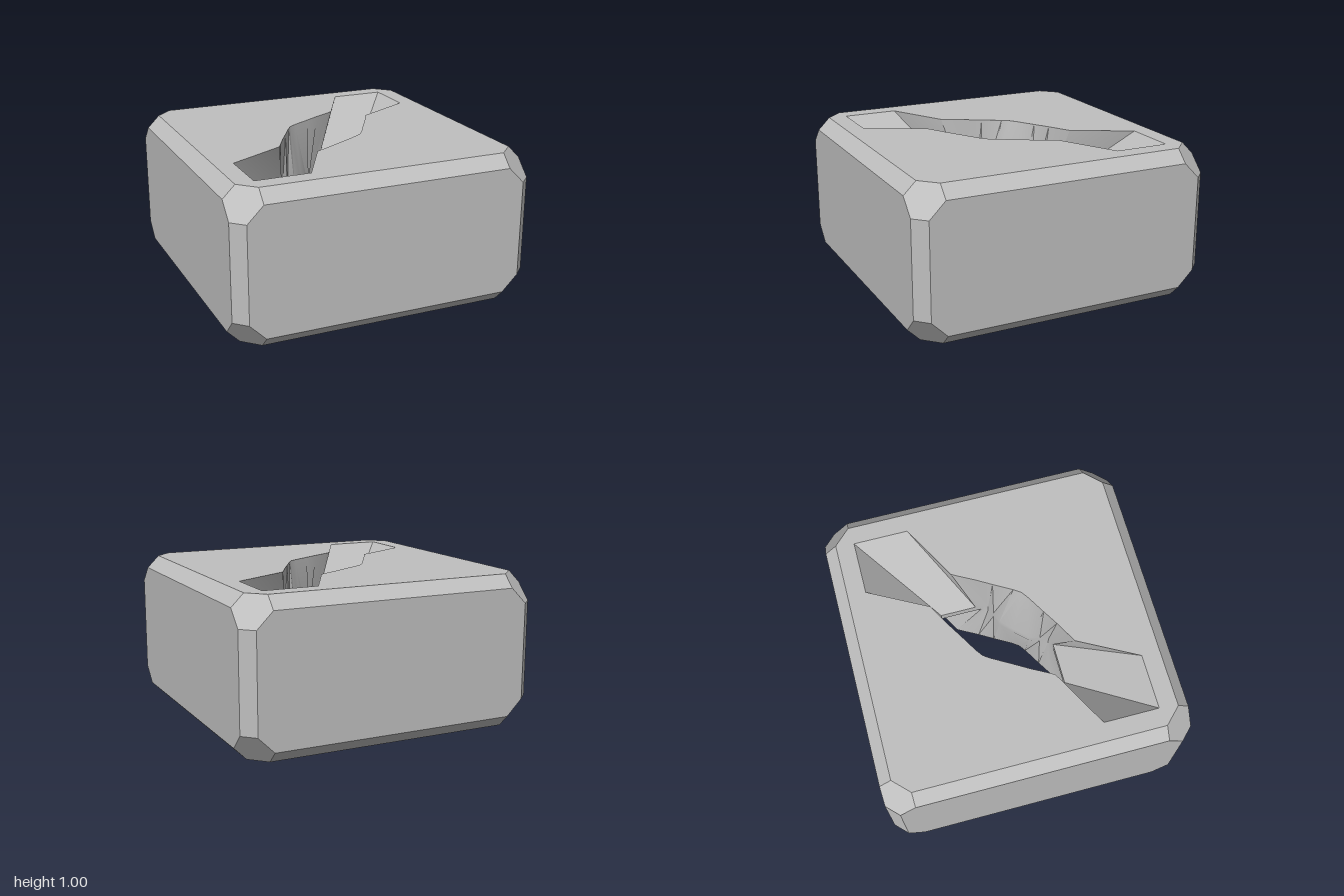
import * as THREE from 'three';
import { ConvexGeometry } from 'three/addons/geometries/ConvexGeometry.js';
import { toCreasedNormals } from 'three/addons/utils/BufferGeometryUtils.js';

// One quarter of the slot outline as [x, z]: at the mouths and at the waist
const MOUTH = [[0.8, -0.8], [0.8, -0.44], [0.42, -0.235], [0.4, -0.2], [0.34, -0.09], [0.28, 0.01], [0.21, 0.13], [0.177, 0.177]];
const WAIST = [[0.345, -0.345], [0.345, -0.1], [0.345, -0.06], [0.34, -0.04], [0.325, -0.015], [0.27, 0.01], [0.2, 0.035], [0.115, 0.115]];

// Mirror a quarter across both diagonals into a closed loop
function closedLoop(quarter) {
  const swapped = quarter.slice(1, -1).reverse().map(([x, z]) => [z, x]);
  const half = [...quarter, ...swapped];
  return [...half, ...half.map(([x, z]) => [-x, -z])];
}

// Chamfered block with its top and bottom faces left out
function shellGeometry() {
  const a = 0.815, b = 0.92, points = [];
  for (const sx of [-1, 1]) for (const sy of [0, 1]) for (const sz of [-1, 1]) {
    for (const [x, y, z] of [[a, b, 1], [b, a, 1], [1, b, a], [1, a, b], [a, 1, b], [b, 1, a]]) {
      points.push(new THREE.Vector3(sx * x, sy ? y : 1 - y, sz * z));
    }
  }
  const hull = new ConvexGeometry(points).getAttribute('position');
  const kept = [];
  for (let i = 0; i < hull.count; i += 3) {
    const tri = [0, 1, 2].map(k => new THREE.Vector3().fromBufferAttribute(hull, i + k));
    const flat = tri.every(p => p.y > 0.999) || tri.every(p => p.y < 0.001);
    if (!flat) tri.forEach(p => kept.push(p.x, p.y, p.z));
  }
  return fromTriangles(kept);
}

function fromTriangles(values) {
  const geometry = new THREE.BufferGeometry();
  geometry.setAttribute('position', new THREE.Float32BufferAttribute(values, 3));
  geometry.computeVertexNormals();
  return geometry;
}

// Octagonal face pierced by the slot mouth; dir is 1 for top, -1 for bottom
function capGeometry(dir) {
  const a = 0.815, b = 0.92;
  const outline = [[a, -b], [b, -a], [b, a], [a, b], [-a, b], [-b, a], [-b, -a], [-a, -b]];
  const toVec = ([x, z]) => new THREE.Vector2(x, -dir * z);
  const shape = new THREE.Shape(outline.map(toVec));
  shape.holes.push(new THREE.Path(closedLoop(MOUTH).map(toVec)));
  return new THREE.ShapeGeometry(shape).rotateX(-dir * Math.PI / 2);
}

// Slot walls joining mouth, waist, waist, mouth
function slotGeometry() {
  const mouth = closedLoop(MOUTH), waist = closedLoop(WAIST);
  const rings = [[mouth, 1], [waist, 0.53], [waist, 0.47], [mouth, 0]];
  const n = mouth.length, values = [];
  for (let r = 0; r < rings.length - 1; r++) {
    const at = (ring, i) => {
      const [loop, y] = rings[ring], [x, z] = loop[i % n];
      return [x, y, z];
    };
    for (let i = 0; i < n; i++) {
      const p = at(r, i), q = at(r, i + 1), s = at(r + 1, i), t = at(r + 1, i + 1);
      values.push(...p, ...s, ...q, ...q, ...s, ...t);
    }
  }
  return toCreasedNormals(fromTriangles(values), 0.6);
}

export function createModel() {
  const group = new THREE.Group();
  group.name = 'slottedBlock';
  const grey = new THREE.MeshStandardMaterial({ color: 0xbfbfbf });
  grey.name = 'grey';

  const add = (name, geometry, y = 0) => {
    const mesh = new THREE.Mesh(geometry, grey);
    mesh.name = name;
    mesh.position.y = y;
    group.add(mesh);
  };
  add('chamferedShell', shellGeometry());
  add('topFace', capGeometry(1), 1);
  add('bottomFace', capGeometry(-1));
  add('slotWalls', slotGeometry());
  return group;
}
